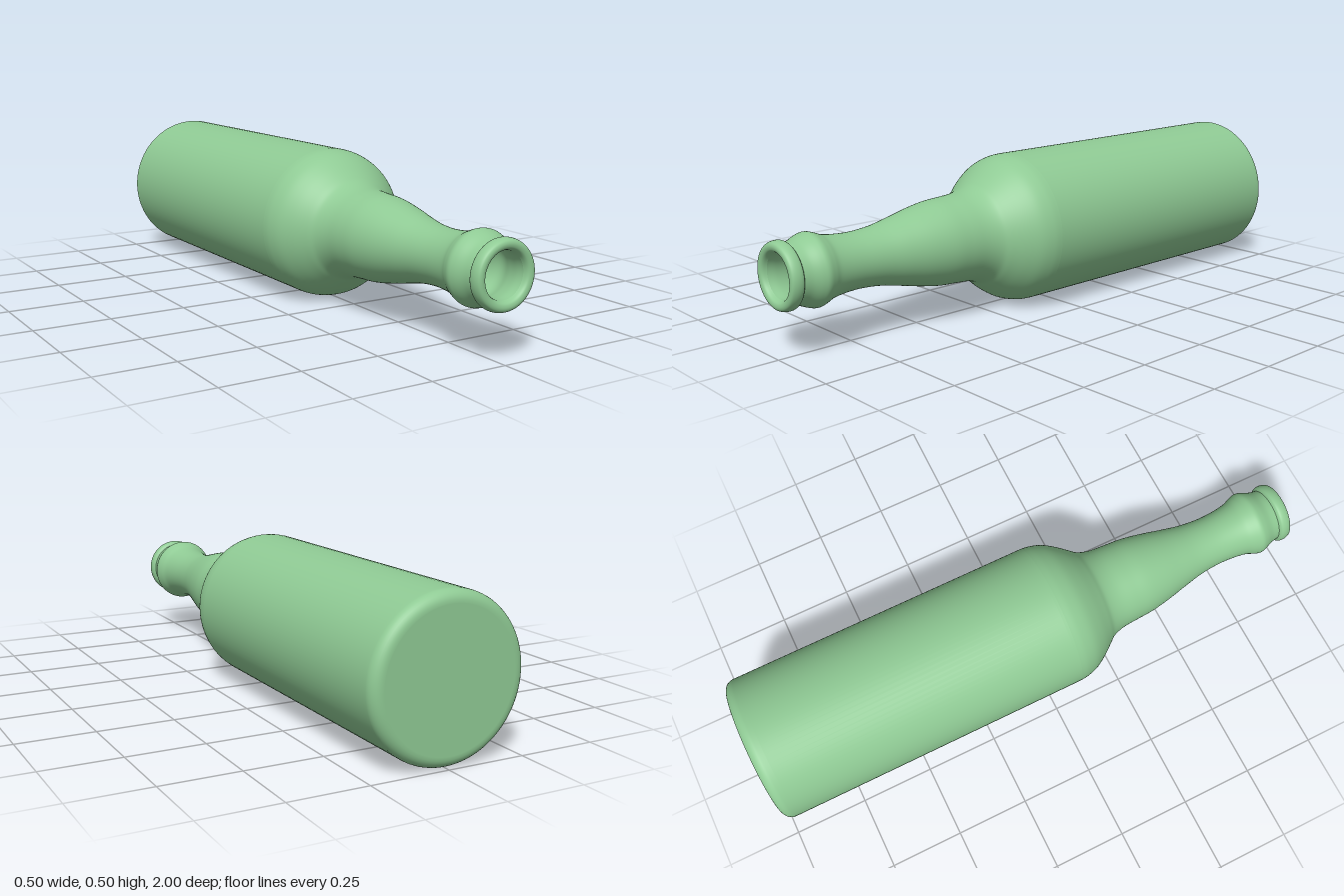
import * as THREE from 'three';

const SEGMENTS = 96;
const AXIS_HEIGHT = 0.25;

const v = ([r, z]) => new THREE.Vector2(r, z);

// Smooth curve through [radius, z] points
const spline = (pts, n) => new THREE.SplineCurve(pts.map(v)).getPoints(n);

// Rounded corner: arc of radius rad around (cr, cz)
function arc(cr, cz, rad, from, to, n = 8) {
  return Array.from({ length: n + 1 }, (_, i) => {
    const a = from + (to - from) * i / n;
    return new THREE.Vector2(cr + rad * Math.cos(a), cz + rad * Math.sin(a));
  });
}

export function createModel() {
  const bottle = new THREE.Group();
  bottle.name = 'bottle';
  const glass = new THREE.MeshStandardMaterial({ color: 0x8fca94 });

  // Turn a profile around the long axis, which lies along z
  function turned(name, profile) {
    const geometry = new THREE.LatheGeometry(profile, SEGMENTS);
    geometry.rotateX(Math.PI / 2);
    const mesh = new THREE.Mesh(geometry, glass);
    mesh.name = name;
    mesh.position.y = AXIS_HEIGHT;
    bottle.add(mesh);
  }

  // Flat base, rounded heel and straight body
  turned('body', [
    v([0, -1]), v([0.212, -1]),
    ...arc(0.215, -0.965, 0.035, -Math.PI / 2, 0),
    v([0.25, -0.95]), v([0.25, 0.08]), v([0.25, 0.09]),
  ]);

  // Shoulder, bulging neck and collar ring
  turned('shoulderAndNeck', spline([
    [0.25, 0.09], [0.247, 0.12], [0.235, 0.16], [0.211, 0.2], [0.18, 0.24],
    [0.16, 0.267], [0.147, 0.31], [0.142, 0.37], [0.138, 0.43], [0.126, 0.5],
    [0.108, 0.58], [0.094, 0.65], [0.088, 0.72], [0.09, 0.78], [0.097, 0.83],
    [0.107, 0.857], [0.114, 0.88], [0.11, 0.9], [0.098, 0.93], [0.093, 0.957],
  ], 100));

  // Rounded lip around the mouth
  turned('lip', spline([
    [0.093, 0.955], [0.102, 0.962], [0.105, 0.972], [0.104, 0.985],
    [0.099, 0.996], [0.09, 1], [0.08, 0.998], [0.074, 0.992], [0.07, 0.982],
  ], 40));

  // Inner wall, running from the mouth down to the inner floor
  turned('innerWall', [
    ...spline([
      [0.07, 0.982], [0.069, 0.955], [0.075, 0.92], [0.085, 0.88], [0.077, 0.83],
      [0.069, 0.72], [0.075, 0.65], [0.105, 0.5], [0.12, 0.4], [0.125, 0.31],
      [0.14, 0.26], [0.19, 0.19], [0.22, 0.13], [0.228, 0.08],
    ], 60),
    v([0.228, 0.06]), v([0.228, -0.94]),
    ...arc(0.198, -0.945, 0.03, 0, -Math.PI / 2),
    v([0.195, -0.975]), v([0, -0.975]),
  ]);

  return bottle;
}
